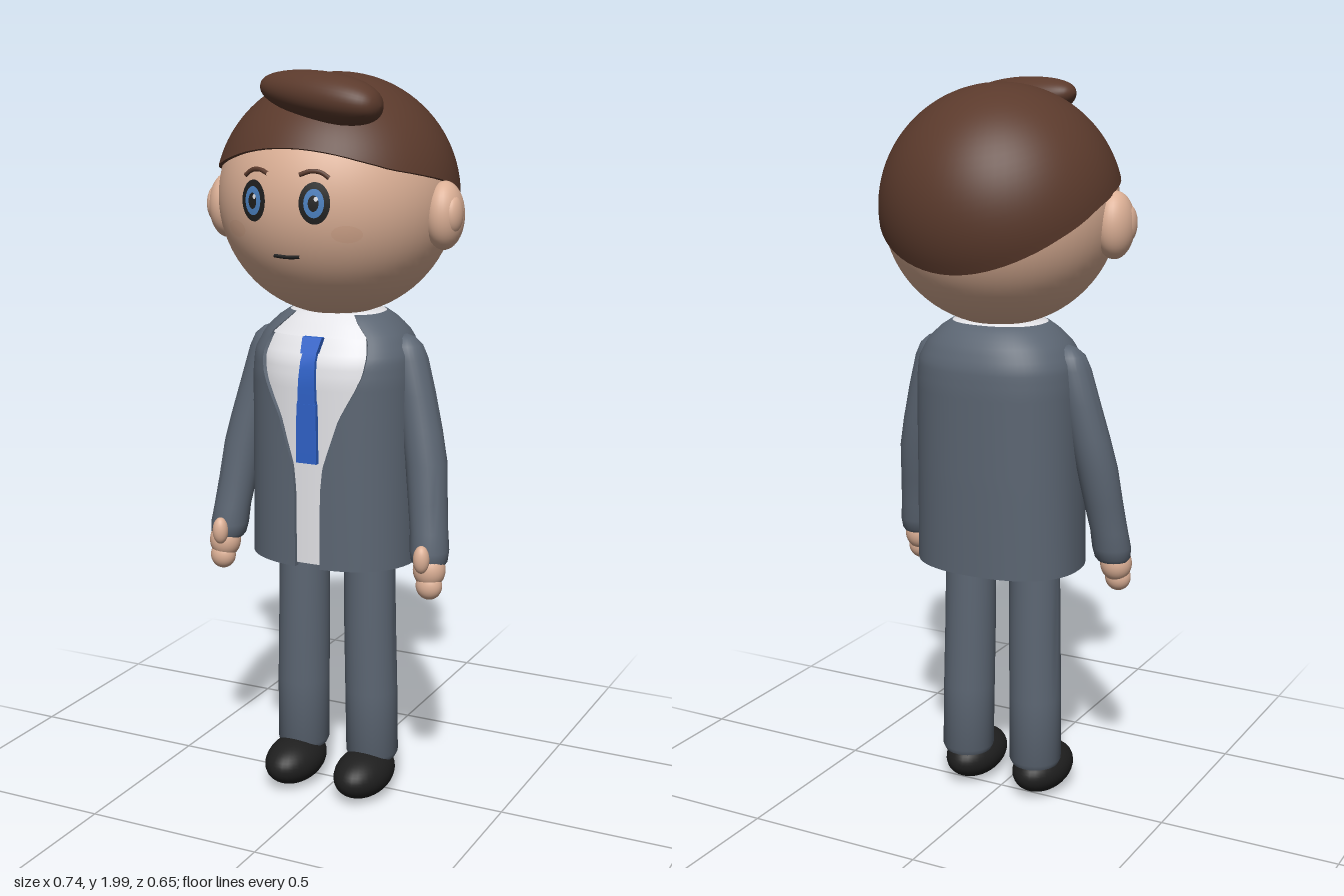
import * as THREE from 'three';
import { toCreasedNormals } from 'three/addons/utils/BufferGeometryUtils.js';

const mat = (name, color) => Object.assign(new THREE.MeshStandardMaterial({ color }), { name });
const M = {
  skin: mat('skin', 0xdcb096), hair: mat('hairBrown', 0x5b3a2c), suit: mat('suitGrey', 0x5c6673),
  shirt: mat('shirtWhite', 0xe6e6ea), tie: mat('tieBlue', 0x2f62c8), black: mat('black', 0x1f1f1f),
  iris: mat('irisBlue', 0x4a80c0), shade: mat('cheek', 0xd8aa8f),
};
const V = (x, y, z) => new THREE.Vector3(x, y, z);

function add(parent, name, geo, material, pos = [0, 0, 0], scale = [1, 1, 1]) {
  const m = new THREE.Mesh(geo, material);
  m.name = name;
  m.position.set(...pos);
  m.scale.set(...scale);
  parent.add(m);
  return m;
}
const ball = (parent, name, material, pos, radii) =>
  add(parent, name, new THREE.SphereGeometry(1, 32, 24), material, pos, radii);

// Piecewise linear lookup in a list of [key, value]
function lookup(list, k) {
  for (let i = 1; i < list.length; i++) {
    const [a, va] = list[i - 1], [b, vb] = list[i];
    if (k <= b || i === list.length - 1)
      return THREE.MathUtils.lerp(va, vb, THREE.MathUtils.clamp((k - a) / (b - a), 0, 1));
  }
}

// Skin over closed cross-sections, listed from bottom to top
function loft(rows, caps = true, crease = 0.7) {
  const n = rows[0].length, pts = rows.flat(), idx = [];
  for (let i = 0; i < rows.length - 1; i++)
    for (let j = 0; j < n; j++) {
      const a = i * n + j, b = i * n + (j + 1) % n;
      idx.push(a, b, b + n, a, b + n, a + n);
    }
  if (caps) [0, rows.length - 1].forEach((r, top) => {
    const c = pts.length;
    pts.push(rows[r].reduce((s, p) => s.add(p), V(0, 0, 0)).divideScalar(n));
    for (let j = 0; j < n; j++) {
      const a = r * n + j, b = r * n + (j + 1) % n;
      top ? idx.push(c, a, b) : idx.push(c, b, a);
    }
  });
  const g = new THREE.BufferGeometry().setFromPoints(pts);
  g.setIndex(idx);
  return toCreasedNormals(g, crease);
}
const ring = (cx, y, cz, rx, rz = rx, n = 28) => Array.from({ length: n }, (_, j) => {
  const a = j / n * Math.PI * 2;
  return V(cx + rx * Math.sin(a), y, cz + rz * Math.cos(a));
});

// Torso outline by height
const WIDTH = [[0.69, 0.235], [0.95, 0.232], [1.2, 0.23], [1.26, 0.225], [1.31, 0.2], [1.345, 0.165], [1.368, 0.13]];
const FRONT = [[0.69, 0.19], [1.2, 0.19], [1.25, 0.182], [1.31, 0.147], [1.345, 0.118], [1.368, 0.095]];
const BACK = [[0.69, 0.176], [0.95, 0.183], [1.2, 0.187], [1.26, 0.184], [1.31, 0.166], [1.345, 0.14], [1.368, 0.112]];
const OPENING = [[0.69, 0.037], [0.9, 0.038], [0.97, 0.045], [1.1, 0.087], [1.18, 0.13], [1.22, 0.147], [1.26, 0.152],
  [1.31, 0.142], [1.345, 0.105], [1.368, 0.085]];
const POW = 0.86;
function torsoPoint(a, y, inset) {
  const s = Math.sin(a), c = Math.cos(a);
  return V(Math.sign(s) * Math.abs(s) ** POW * (lookup(WIDTH, y) - inset), y,
    Math.sign(c) * Math.abs(c) ** POW * (lookup(c > 0 ? FRONT : BACK, y) - inset));
}
const torsoRing = (y, inset, n = 56) =>
  Array.from({ length: n }, (_, j) => torsoPoint(j / n * Math.PI * 2, y, inset));
const steps = (a, b, n) => Array.from({ length: n + 1 }, (_, i) => a + (b - a) * i / n);

// Jacket cross-section: outer wall, then back along the inner wall, open at the front
function jacketRing(y, outer, inner) {
  const a0 = Math.asin((lookup(OPENING, y) / lookup(WIDTH, y)) ** (1 / POW));
  const angles = steps(a0, Math.PI * 2 - a0, 52);
  return [...angles.map(a => torsoPoint(a, y, outer)), ...angles.reverse().map(a => torsoPoint(a, y, inner))];
}

function buildBody(root) {
  const body = new THREE.Group();
  body.name = 'body';
  root.add(body);
  add(body, 'shirt', loft(steps(0.7, 1.36, 36).map(y => torsoRing(y, 0.009))), M.shirt);
  add(body, 'shirtCollar', loft(steps(1.31, 1.368, 6).map(y => torsoRing(y, 0.004))), M.shirt);
  const ys = steps(0.69, 1.365, 40);
  add(body, 'jacket', loft([jacketRing(ys[0], 0.016, 0.016), ...ys.map(y => jacketRing(y, 0, 0.016)),
    jacketRing(1.365, 0.016, 0.016)], false), M.suit);

  // Tie pieces follow the slope of the chest
  const strip = (name, y0, y1, w0, w1, proud) => add(body, name, loft(steps(y0, y1, 6).map((y, i) => {
    const w = w0 + (w1 - w0) * i / 6, z = lookup(FRONT, y) + proud;
    return [V(-w, y, z), V(w, y, z), V(w, y, z - 0.03), V(-w, y, z - 0.03)];
  })), M.tie);
  strip('tieBlade', 0.98, 1.14, 0.03, 0.028, 0.003);
  strip('tieNeck', 1.14, 1.275, 0.026, 0.02, 0.002);
  strip('tieKnot', 1.272, 1.312, 0.023, 0.028, 0.01);
}

function buildLimbs(root, s) {
  const side = s > 0 ? 'left' : 'right';
  const limb = (name) => {
    const g = new THREE.Group();
    g.name = side + name;
    root.add(g);
    return g;
  };
  // Sleeve: x, y, z, radius from cuff to shoulder
  const arm = limb('Arm');
  const sleeve = [[0.307, 0.712, 0.075, 0.042], [0.306, 0.722, 0.074, 0.049], [0.304, 0.75, 0.07, 0.053],
    [0.299, 0.8, 0.062, 0.051], [0.288, 0.88, 0.047, 0.053], [0.275, 0.98, 0.03, 0.056], [0.258, 1.06, 0.02, 0.055],
    [0.235, 1.16, 0.009, 0.052], [0.212, 1.25, 0.003, 0.05], [0.203, 1.285, 0.002, 0.043], [0.197, 1.305, 0, 0.026],
    [0.195, 1.312, 0, 0.008]];
  add(arm, 'sleeve', loft(sleeve.map(([x, y, z, r]) => ring(s * x, y, z, r)), true, 0.9), M.suit);
  ball(arm, 'palm', M.skin, [s * 0.311, 0.7, 0.086], [0.044, 0.05, 0.042]);
  ball(arm, 'fingers', M.skin, [s * 0.314, 0.658, 0.094], [0.036, 0.038, 0.032]);
  ball(arm, 'thumb', M.skin, [s * 0.304, 0.737, 0.125], [0.022, 0.038, 0.022]);

  const leg = limb('Leg');
  const trouser = [[0.108, 0.1, 0.002, 0.066], [0.108, 0.115, 0.002, 0.073], [0.106, 0.3, 0.005, 0.073],
    [0.102, 0.5, 0.007, 0.072], [0.1, 0.73, 0.008, 0.07]];
  add(leg, 'trouserLeg', loft(trouser.map(([x, y, z, r]) => ring(s * x, y, z, r))), M.suit);
  ball(leg, 'shoe', M.black, [s * 0.108, 0.066, 0.053], [0.077, 0.065, 0.121]);
}

const HEAD_Y = 1.667, R = 0.313, RZ = 0.32;
const faceZ = (x, y) => RZ * Math.sqrt(Math.max(0, 1 - (x * x + (y - HEAD_Y) ** 2) / (R * R)));

// Thin oval laid on the face
function patch(parent, name, material, x, y, rx, ry, lift) {
  const g = new THREE.RingGeometry(0, 1, 36, 5), p = g.attributes.position;
  for (let i = 0; i < p.count; i++) {
    const px = x + p.getX(i) * rx, py = y + p.getY(i) * ry;
    p.setXYZ(i, px, py, faceZ(px, py) + lift);
  }
  g.computeVertexNormals();
  return add(parent, name, g, material);
}
const line = (parent, name, material, pts, r) => add(parent, name, new THREE.TubeGeometry(
  new THREE.CatmullRomCurve3(pts.map(([x, y]) => V(x, y, faceZ(x, y) + 0.001))), 20, r, 8), material);

function buildHead(root) {
  const head = new THREE.Group();
  head.name = 'head';
  root.add(head);
  add(head, 'skull', new THREE.SphereGeometry(1, 56, 40), M.skin, [0, HEAD_Y, 0], [R, R, RZ]);

  for (const s of [1, -1]) {
    ball(head, 'ear', M.skin, [s * 0.316, 1.632, 0.028], [0.05, 0.088, 0.065]);
    ball(head, 'innerEar', M.skin, [s * 0.345, 1.636, 0.042], [0.024, 0.05, 0.036]);
    patch(head, 'eyeRim', M.black, s * 0.085, 1.677, 0.038, 0.052, 0.003);
    patch(head, 'iris', M.iris, s * 0.085, 1.677, 0.025, 0.036, 0.005);
    patch(head, 'pupil', M.black, s * 0.085, 1.677, 0.013, 0.02, 0.007);
    patch(head, 'eyeGlint', M.shirt, s * 0.085 + 0.007, 1.688, 0.005, 0.006, 0.0085);
    patch(head, 'cheek', M.shade, s * 0.155, 1.6, 0.034, 0.022, 0.001);
    line(head, 'eyebrow', M.hair, [[s * 0.117, 1.738], [s * 0.095, 1.752], [s * 0.07, 1.754], [s * 0.044, 1.745]], 0.006);
  }
  line(head, 'mouth', M.black, [[-0.036, 1.54], [0, 1.538], [0.036, 1.54]], 0.005);

  // Hair cap: its hem drops from the forehead to the nape
  const HEM = [[-1, -0.145], [-0.57, -0.05], [-0.22, 0.018], [0.1, 0.055], [0.62, 0.09], [0.8, 0.112], [1, 0.142]];
  const capRing = (t, k) => Array.from({ length: 72 }, (_, j) => {
    const a = j / 72 * Math.PI * 2;
    const th = Math.acos(lookup(HEM, Math.cos(a)) / 0.322) * (1 - t), h = k * Math.sin(th);
    return V(0.323 * h * Math.sin(a), HEAD_Y + 0.321 * k * Math.cos(th), 0.327 * h * Math.cos(a));
  });
  add(head, 'hairCap', loft([capRing(0, 0.94), ...steps(0, 0.995, 24).map(t => capRing(t, 1))]), M.hair);

  // Quiff: a swept lump, fuller towards the left
  const q = new THREE.SphereGeometry(1, 40, 28).rotateZ(Math.PI / 2), p = q.attributes.position;
  for (let i = 0; i < p.count; i++) {
    const u = p.getX(i), f = 1 + 0.14 * u;
    const fat = f / Math.max(0.35, Math.sqrt(1 - u * u)) ** 0.2;
    p.setXYZ(i, 0.052 + 0.177 * u, 1.932 - 0.022 * u + 0.062 * fat * p.getY(i),
      0.208 + 0.026 * u + 0.082 * fat * p.getZ(i));
  }
  q.computeVertexNormals();
  add(head, 'quiff', q, M.hair);
}

export function createModel() {
  const root = new THREE.Group();
  root.name = 'suitedFigure';
  buildBody(root);
  for (const s of [1, -1]) buildLimbs(root, s);
  buildHead(root);
  return root;
}
